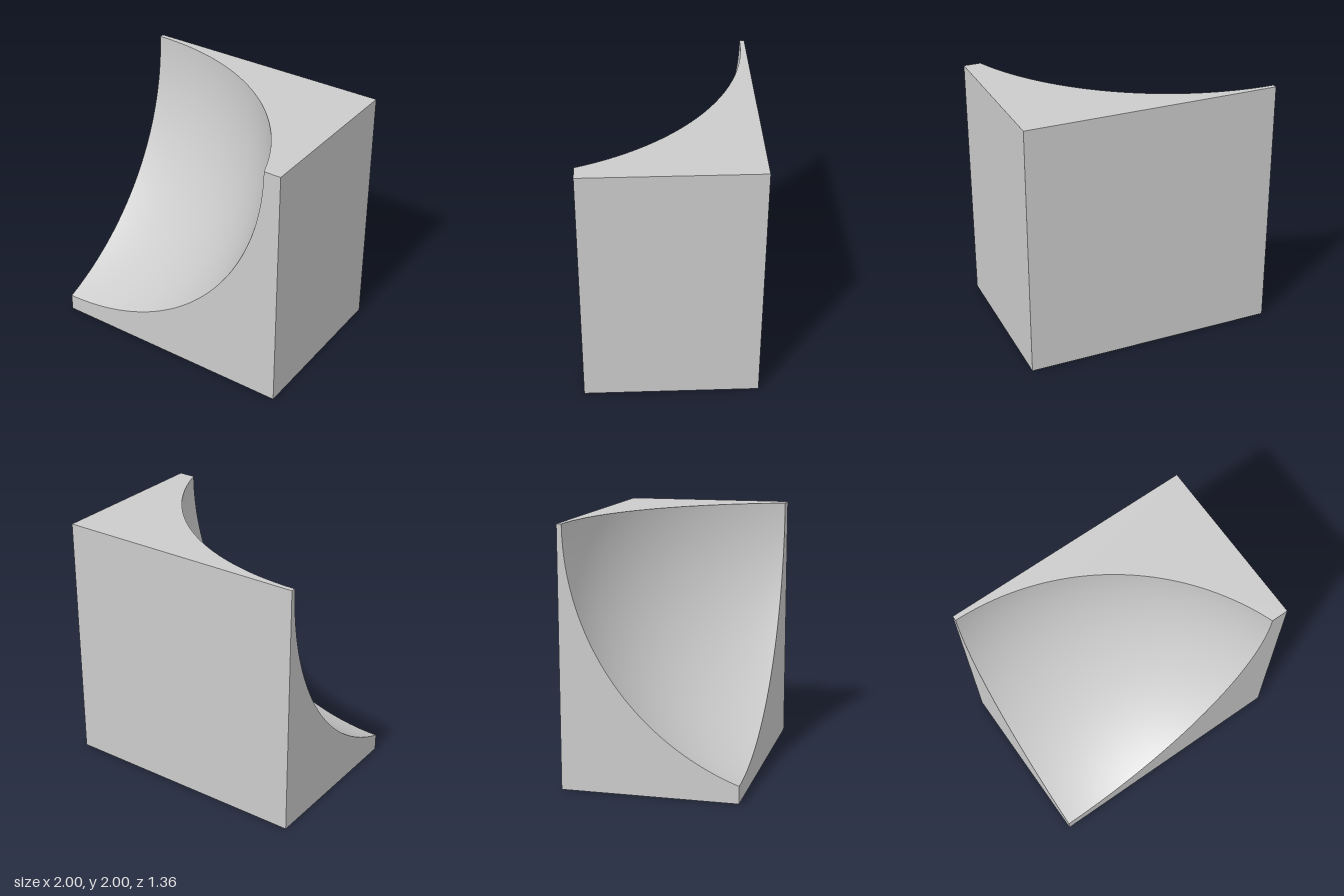
import * as THREE from 'three';

const W = 2, H = 2, D = 0.678;            // width, height, half depth
const RIM = 1.865, DEEP = 0.64;           // rim radius on the front, deepest point of the hollow
const E = D + DEEP;
const AHEAD = (RIM * RIM - E * E) / (2 * E); // sphere centre lies this far in front
const R = AHEAD + E, CZ = D + AHEAD;
const SWEEP = Math.atan2(RIM, AHEAD);
const SEG = 72;

const arc = (fn) => Array.from({ length: SEG + 1 }, (_, i) => new THREE.Vector2(...fn(i / SEG)));
const face = (points) => new THREE.ShapeGeometry(new THREE.Shape(points));
const v = (x, y) => new THREE.Vector2(x, y);

export function createModel() {
  const group = new THREE.Group();
  const material = new THREE.MeshStandardMaterial({ color: 0xcccccc });
  const add = (name, geometry) => {
    const mesh = new THREE.Mesh(geometry, material);
    mesh.name = name;
    group.add(mesh);
  };

  // plain outer walls
  add('backWall', new THREE.PlaneGeometry(W, H).rotateY(Math.PI).translate(0, H / 2, -D));
  add('leftWall', new THREE.PlaneGeometry(2 * D, H).rotateY(Math.PI / 2).translate(1, H / 2, 0));
  add('base', new THREE.PlaneGeometry(W, 2 * D).rotateX(Math.PI / 2));

  // front face outside the quarter-circle rim
  const rim = arc((t) => {
    const a = t * Math.PI / 2;
    return [-1 + RIM * Math.sin(a), H - RIM * Math.cos(a)];
  });
  add('frontFace', face([...rim, v(1, H), v(1, 0), v(-1, 0)]).translate(0, 0, D));

  // top and right faces share one profile: distance from the corner edge against depth
  const cut = arc((t) => [R * Math.sin(t * SWEEP), CZ - R * Math.cos(t * SWEEP)]);
  const profile = [...cut, v(W, D), v(W, -D), v(0, -D)];
  add('topFace', face(profile.map((p) => v(p.x - 1, -p.y))).rotateX(-Math.PI / 2).translate(0, H, 0));
  add('rightFace', face(profile.map((p) => v(p.y, H - p.x))).rotateY(-Math.PI / 2).translate(-1, 0, 0));

  // spherical hollow: quarter of a cap, turned inside out
  const hollow = new THREE.SphereGeometry(R, SEG, SEG, Math.PI, Math.PI / 2, 0, SWEEP)
    .rotateX(-Math.PI / 2).translate(-1, H, CZ);
  hollow.index.array.reverse();
  const normals = hollow.attributes.normal.array;
  normals.forEach((n, i) => { normals[i] = -n; });
  add('sphericalHollow', hollow);

  return group;
}
